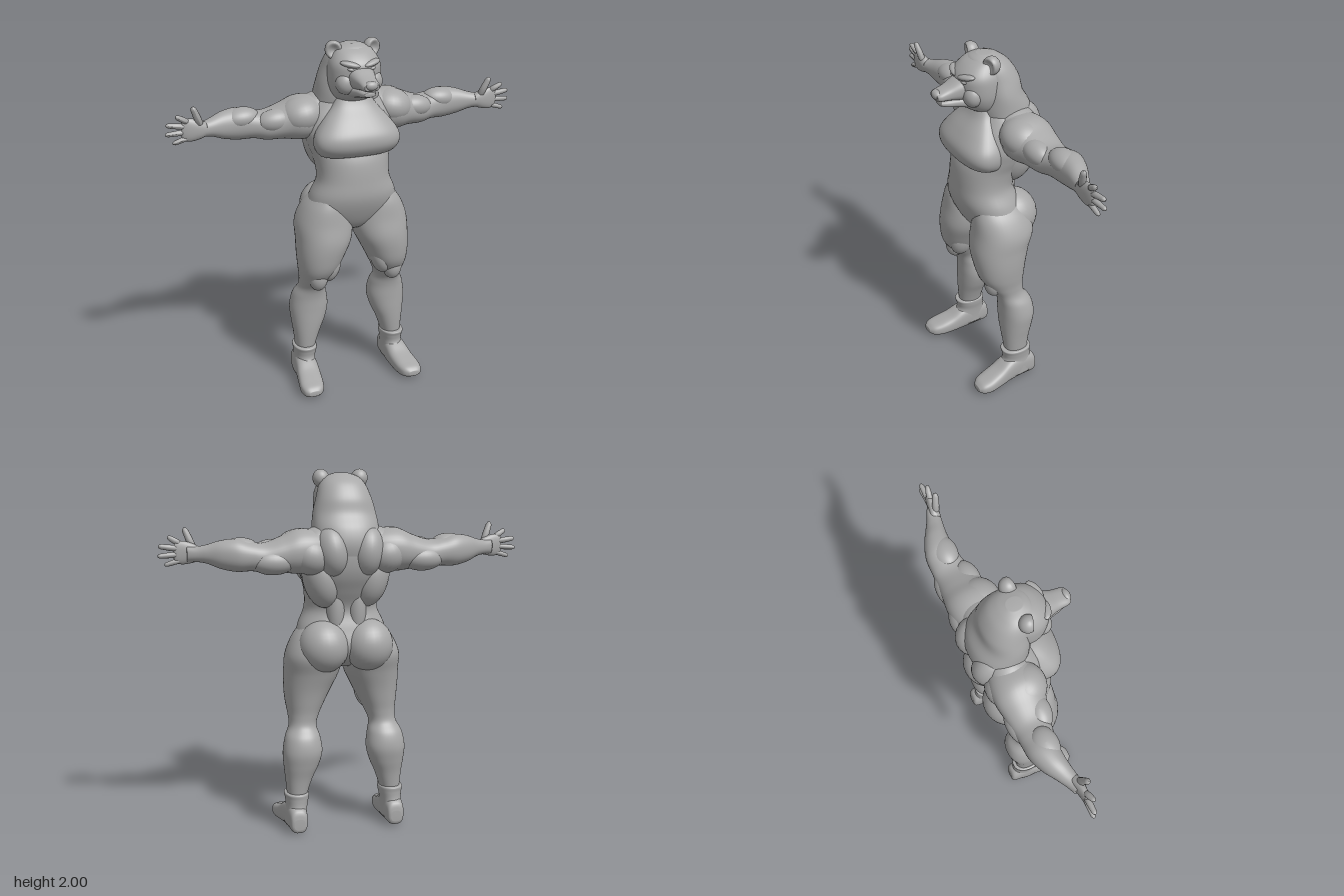
import * as THREE from 'three';

const skin = new THREE.MeshStandardMaterial({ color: 0xa8a8a8 });
skin.name = 'clay grey';

// Smooth value between rows of a section list
function sample(rows, t, k) {
  const i = Math.min(Math.floor(t), rows.length - 2), f = t - i;
  const p = (j) => rows[Math.max(0, Math.min(rows.length - 1, j))][k];
  const [a, b, c, d] = [p(i - 1), p(i), p(i + 1), p(i + 2)];
  return b + 0.5 * f * (c - a + f * (2 * a - 5 * b + 4 * c - d + f * (3 * (b - c) + d - a)));
}

// Loft along an axis. Row: [s, uMin, uMax, vMin, vMax], where s, u, v are
// x,y,z or y,z,x or z,x,y. n is the superellipse power of the sections.
function loft(axis, rows, n = 2.2, sides = 40, steps = 6) {
  const s0 = { x: 0, y: 1, z: 2 }[axis];
  const pos = [], index = [], rings = (rows.length - 1) * steps + 1;
  const put = (s, u, v) => {
    const p = [0, 0, 0];
    p[s0] = s; p[(s0 + 1) % 3] = u; p[(s0 + 2) % 3] = v;
    pos.push(...p);
  };
  const power = (c) => Math.sign(c) * Math.abs(c) ** (2 / n);
  for (let i = 0; i < rings; i++) {
    const [s, u0, u1, v0, v1] = [0, 1, 2, 3, 4].map((k) => sample(rows, i / steps, k));
    for (let j = 0; j < sides; j++) {
      const a = (j / sides) * Math.PI * 2;
      put(s, (u0 + u1) / 2 + power(Math.cos(a)) * (u1 - u0) / 2,
        (v0 + v1) / 2 + power(Math.sin(a)) * (v1 - v0) / 2);
    }
  }
  for (let i = 0; i < rings - 1; i++) for (let j = 0; j < sides; j++) {
    const a = i * sides + j, b = i * sides + (j + 1) % sides;
    index.push(a, b, a + sides, b, b + sides, a + sides);
  }
  const last = (rings - 1) * sides, c = rings * sides;
  for (const r of [rows[0], rows[rows.length - 1]]) put(r[0], (r[1] + r[2]) / 2, (r[3] + r[4]) / 2);
  for (let j = 0; j < sides; j++) {
    const k = (j + 1) % sides;
    index.push(c, k, j, c + 1, last + j, last + k);
  }
  const g = new THREE.BufferGeometry();
  g.setAttribute('position', new THREE.Float32BufferAttribute(pos, 3));
  g.setIndex(index);
  g.computeVertexNormals();
  return g;
}

// Upright loft symmetric about x = 0. Row: [y, zBack, zFront, halfWidth]
const upright = (rows, n) => loft('y', rows.map(([y, b, f, w]) => [y, b, f, -w, w]), n);

function ellipsoid(c, r, rot = [0, 0, 0]) {
  const m = new THREE.Matrix4().compose(new THREE.Vector3(...c),
    new THREE.Quaternion().setFromEuler(new THREE.Euler(...rot)), new THREE.Vector3(...r));
  return new THREE.SphereGeometry(1, 28, 20).applyMatrix4(m);
}

// Tapered rounded finger from a to b
function finger(a, b, r) {
  const A = new THREE.Vector3(...a), d = new THREE.Vector3(...b).sub(A), len = d.length();
  const profile = [[0, 0], [r, 0.02], [r, len * 0.5], [r * 0.85, len - r], [r * 0.55, len - r * 0.3], [0, len]];
  const g = new THREE.LatheGeometry(profile.map((p) => new THREE.Vector2(...p)), 12);
  g.applyQuaternion(new THREE.Quaternion().setFromUnitVectors(new THREE.Vector3(0, 1, 0), d.normalize()));
  return g.translate(...a);
}

function mirrored(geo) {
  const g = geo.clone().scale(-1, 1, 1), idx = g.index.array;
  for (let i = 0; i < idx.length; i += 3) [idx[i], idx[i + 1]] = [idx[i + 1], idx[i]];
  g.computeVertexNormals();
  return g;
}

export function createModel() {
  const model = new THREE.Group();
  model.name = 'bearFigure';
  const add = (name, geo) => {
    const m = new THREE.Mesh(geo, skin);
    m.name = name;
    model.add(m);
  };
  const pair = (name, geo) => {
    add(name + 'Left', geo);
    add(name + 'Right', mirrored(geo));
  };

  // Torso, bust and neck
  add('torso', upright([
    [0.93, -0.1, 0.01, 0.04], [0.97, -0.15, 0.08, 0.14], [1.05, -0.19, 0.13, 0.25],
    [1.15, -0.17, 0.165, 0.245], [1.25, -0.145, 0.165, 0.205], [1.35, -0.19, 0.155, 0.21],
    [1.43, -0.23, 0.13, 0.235], [1.5, -0.25, 0.12, 0.25], [1.58, -0.255, 0.09, 0.24],
    [1.65, -0.24, 0.05, 0.2], [1.71, -0.2, 0.03, 0.13]]));
  add('bust', upright([
    [1.385, -0.02, 0.11, 0.16], [1.4, -0.05, 0.155, 0.21], [1.45, -0.05, 0.19, 0.238],
    [1.51, -0.05, 0.188, 0.232], [1.58, -0.05, 0.145, 0.185], [1.65, -0.05, 0.09, 0.125],
    [1.7, -0.05, 0.065, 0.1]], 2.5));
  add('neckAndNape', upright([
    [1.5, -0.24, 0, 0.17], [1.6, -0.265, 0.03, 0.19], [1.69, -0.25, 0.05, 0.182],
    [1.77, -0.205, 0.05, 0.172], [1.85, -0.187, 0.06, 0.15], [1.92, -0.145, 0.08, 0.125],
    [1.96, -0.095, 0.07, 0.09], [1.98, -0.05, 0.03, 0.035]]));

  // Back and hip muscles
  pair('upperBack', ellipsoid([0.095, 1.57, -0.17], [0.095, 0.14, 0.12], [0, 0, -0.1]));
  pair('shoulderBlade', ellipsoid([0.21, 1.55, -0.17], [0.11, 0.1, 0.1], [0, 0, 0.3]));
  pair('lat', ellipsoid([0.14, 1.43, -0.11], [0.1, 0.17, 0.115], [0, 0, -0.2]));
  pair('spineMuscle', ellipsoid([0.06, 1.27, -0.105], [0.055, 0.2, 0.065]));
  pair('trapezius', ellipsoid([0.15, 1.63, -0.12], [0.13, 0.075, 0.1], [0, 0, -0.2]));
  pair('glute', ellipsoid([0.125, 1.05, -0.115], [0.14, 0.145, 0.138]));

  // Head
  add('skull', upright([
    [1.675, -0.1, 0.06, 0.08], [1.71, -0.1, 0.115, 0.115], [1.77, -0.1, 0.145, 0.138],
    [1.84, -0.1, 0.155, 0.142], [1.89, -0.1, 0.15, 0.135], [1.935, -0.08, 0.11, 0.11],
    [1.965, -0.06, 0.06, 0.08], [1.98, -0.03, 0.02, 0.03]]));
  add('muzzle', loft('z', [
    [0.08, -0.085, 0.085, 1.75, 1.9], [0.15, -0.07, 0.07, 1.76, 1.875],
    [0.21, -0.055, 0.055, 1.77, 1.845], [0.26, -0.05, 0.05, 1.775, 1.828],
    [0.28, -0.04, 0.04, 1.782, 1.82]], 2.5));
  add('lowerJaw', loft('z', [
    [0.08, -0.08, 0.08, 1.7, 1.78], [0.16, -0.056, 0.056, 1.722, 1.78],
    [0.22, -0.044, 0.044, 1.733, 1.777], [0.255, -0.03, 0.03, 1.745, 1.77]], 2.4));
  add('nose', ellipsoid([0, 1.808, 0.268], [0.037, 0.025, 0.024]));
  pair('brow', ellipsoid([0.06, 1.892, 0.128], [0.055, 0.016, 0.026], [0, 0.35, 0.2]));
  pair('eye', ellipsoid([0.06, 1.868, 0.138], [0.02, 0.009, 0.014], [0, 0.35, 0.15]));
  pair('cheek', ellipsoid([0.075, 1.79, 0.1], [0.055, 0.06, 0.05]));

  // Cupped ears: the front half is pressed inward
  const ear = new THREE.SphereGeometry(1, 28, 20), p = ear.attributes.position;
  for (let i = 0; i < p.count; i++) {
    const r = Math.hypot(p.getX(i), p.getY(i));
    if (p.getZ(i) > 0) p.setZ(i, p.getZ(i) * (1 - 0.85 * Math.max(0, 1 - r * r * 1.3)));
  }
  ear.scale(0.046, 0.05, 0.045).rotateY(0.3).rotateZ(-0.2).translate(0.107, 1.95, 0.008);
  ear.computeVertexNormals();
  pair('ear', ear);

  // Arms
  pair('arm', loft('x', [
    [0.1, 1.5, 1.67, -0.22, -0.02], [0.2, 1.46, 1.69, -0.25, 0.01],
    [0.28, 1.455, 1.69, -0.255, 0.02], [0.36, 1.465, 1.655, -0.245, -0.01],
    [0.45, 1.465, 1.625, -0.235, -0.035], [0.52, 1.478, 1.63, -0.232, -0.055],
    [0.6, 1.477, 1.648, -0.228, -0.068], [0.68, 1.493, 1.64, -0.2, -0.068],
    [0.75, 1.52, 1.618, -0.16, -0.06], [0.8, 1.528, 1.608, -0.132, -0.052],
    [0.85, 1.53, 1.61, -0.11, -0.052]]));
  pair('deltoid', ellipsoid([0.26, 1.59, -0.09], [0.125, 0.1, 0.12], [0, 0.2, -0.15]));
  pair('biceps', ellipsoid([0.41, 1.575, -0.08], [0.1, 0.062, 0.065], [0, 0.1, -0.1]));
  pair('triceps', ellipsoid([0.41, 1.525, -0.18], [0.12, 0.068, 0.075]));
  pair('forearmMuscle', ellipsoid([0.58, 1.595, -0.13], [0.1, 0.058, 0.07], [0, 0, -0.05]));

  // Hands
  pair('palm', loft('x', [
    [0.78, 1.535, 1.605, -0.115, -0.055], [0.82, 1.522, 1.625, -0.105, -0.048],
    [0.87, 1.515, 1.637, -0.095, -0.05], [0.905, 1.525, 1.63, -0.088, -0.058],
    [0.915, 1.54, 1.61, -0.08, -0.066]]));
  const fingers = {
    thumb: [[0.81, 1.59, -0.07], [0.857, 1.705, -0.045], 0.019],
    indexFinger: [[0.87, 1.615, -0.073], [0.945, 1.66, -0.055], 0.016],
    middleFinger: [[0.88, 1.595, -0.073], [0.995, 1.612, -0.075], 0.016],
    ringFinger: [[0.88, 1.568, -0.073], [1, 1.56, -0.08], 0.015],
    littleFinger: [[0.87, 1.54, -0.073], [0.965, 1.512, -0.07], 0.014],
  };
  for (const [name, f] of Object.entries(fingers)) pair(name, finger(...f));

  // Legs
  pair('leg', loft('y', [
    [0.12, -0.13, -0.01, 0.225, 0.32], [0.2, -0.135, 0, 0.217, 0.325],
    [0.3, -0.148, 0.01, 0.185, 0.335], [0.38, -0.167, 0.015, 0.15, 0.345],
    [0.46, -0.18, 0.017, 0.13, 0.35], [0.54, -0.165, 0.022, 0.14, 0.335],
    [0.6, -0.125, 0.04, 0.155, 0.308], [0.66, -0.12, 0.085, 0.135, 0.308],
    [0.73, -0.13, 0.13, 0.1, 0.318], [0.81, -0.145, 0.15, 0.06, 0.325],
    [0.9, -0.17, 0.157, 0.018, 0.325], [1, -0.2, 0.143, 0.005, 0.32],
    [1.1, -0.17, 0.13, 0.04, 0.275], [1.18, -0.1, 0.1, 0.08, 0.205]]));
  pair('kneecap', ellipsoid([0.225, 0.685, 0.055], [0.055, 0.08, 0.055]));
  pair('innerThighMuscle', ellipsoid([0.15, 0.75, 0.05], [0.055, 0.1, 0.07], [0, 0, 0.25]));

  // Ankle boots
  pair('bootFoot', loft('z', [
    [-0.183, 0.25, 0.31, 0.03, 0.09], [-0.165, 0.232, 0.328, 0.008, 0.14],
    [-0.08, 0.222, 0.338, 0.006, 0.17], [0, 0.218, 0.348, 0.006, 0.15],
    [0.07, 0.222, 0.36, 0.002, 0.112], [0.14, 0.232, 0.37, 0, 0.088],
    [0.19, 0.25, 0.362, 0.008, 0.072], [0.215, 0.28, 0.34, 0.022, 0.052]], 2.8));
  pair('bootShaft', loft('y', [
    [0.04, -0.175, 0.06, 0.222, 0.34], [0.1, -0.17, 0.045, 0.22, 0.338],
    [0.15, -0.155, 0.015, 0.216, 0.334], [0.19, -0.153, 0.018, 0.208, 0.338],
    [0.215, -0.155, 0.026, 0.206, 0.342], [0.222, -0.145, 0.015, 0.215, 0.333]]));

  return model;
}
